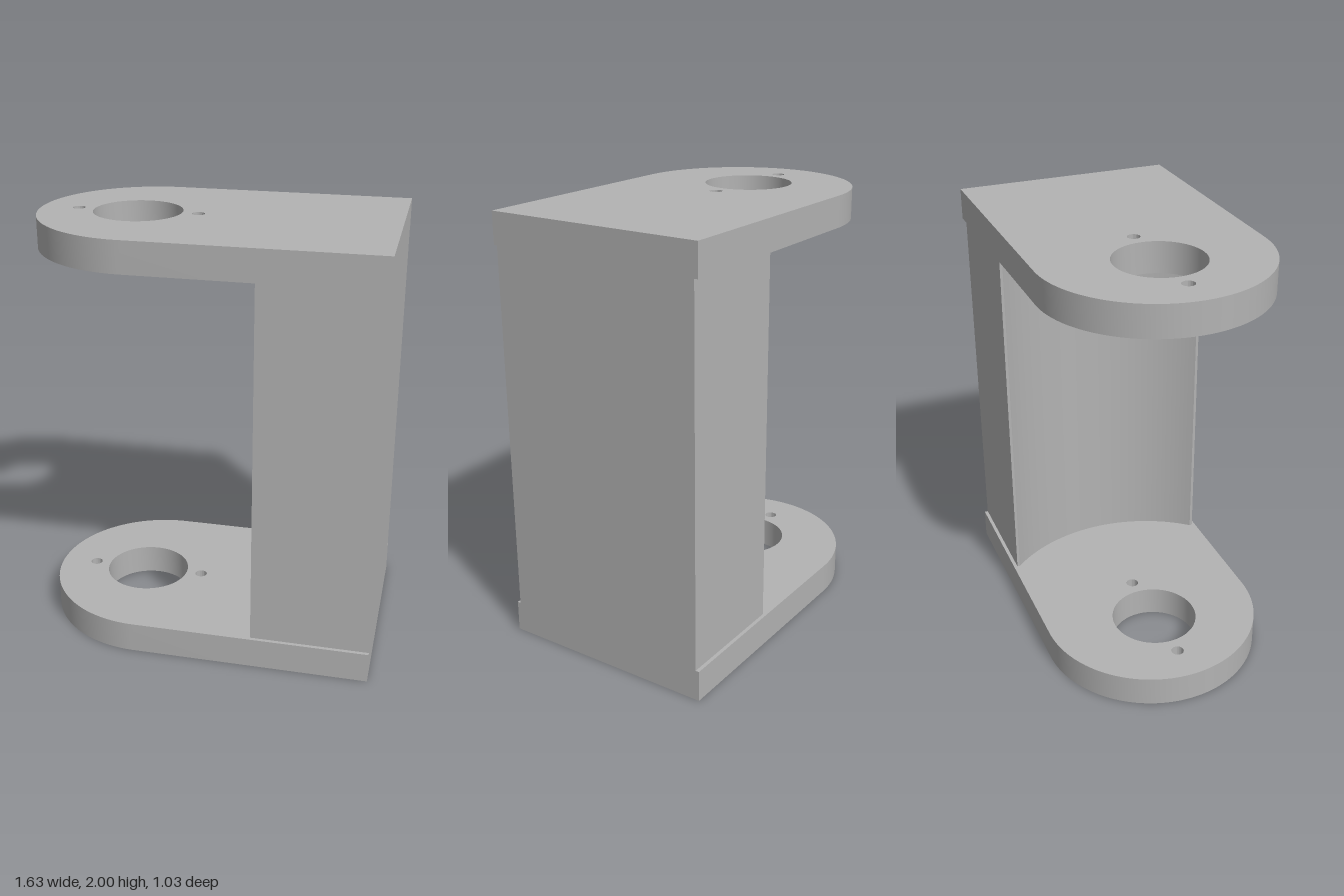
import * as THREE from 'three';
import { toCreasedNormals } from 'three/addons/utils/BufferGeometryUtils.js';

const HEIGHT = 2, PLATE = 0.145, BACK = 0.816;

// Extrude a plan-view outline upwards from y to y + height
function slab(name, shape, y, height, material) {
  const geo = new THREE.ExtrudeGeometry(shape, { depth: height, bevelEnabled: false, curveSegments: 48 });
  geo.rotateX(-Math.PI / 2);
  const mesh = new THREE.Mesh(toCreasedNormals(geo, 0.5), material);
  mesh.name = name;
  mesh.position.y = y;
  return mesh;
}

// Round-ended plate with a bore and two screw holes
function plateShape() {
  const r = 0.517, cx = r - BACK;
  const shape = new THREE.Shape();
  shape.moveTo(BACK, -r);
  shape.lineTo(BACK, r);
  shape.lineTo(cx, r);
  shape.absarc(cx, 0, r, Math.PI / 2, Math.PI * 1.5, false);
  shape.closePath();
  for (const [x, radius] of [[-0.366, 0.203], [-0.644, 0.029], [-0.088, 0.029]]) {
    const hole = new THREE.Path();
    hole.absarc(x, 0, radius, 0, Math.PI * 2, true);
    shape.holes.push(hole);
  }
  return shape;
}

// Upright block with a shallow cylindrical hollow facing the bores
function webShape() {
  const front = 0.265, half = 0.5, chord = 0.487, r = 0.74;
  const cx = front - Math.sqrt(r * r - chord * chord);
  const a = Math.asin(chord / r);
  const shape = new THREE.Shape();
  shape.moveTo(front, -half);
  shape.lineTo(BACK, -half);
  shape.lineTo(BACK, half);
  shape.lineTo(front, half);
  shape.lineTo(front, chord);
  shape.absarc(cx, 0, r, a, -a, true);
  shape.closePath();
  return shape;
}

export function createModel() {
  const grey = new THREE.MeshStandardMaterial({ color: 0xb3b3b3 });
  grey.name = 'grey';
  const group = new THREE.Group();
  group.name = 'bracket';
  group.add(
    slab('bottomPlate', plateShape(), 0, PLATE, grey),
    slab('topPlate', plateShape(), HEIGHT - PLATE, PLATE, grey),
    slab('web', webShape(), PLATE, HEIGHT - 2 * PLATE, grey),
  );
  return group;
}
